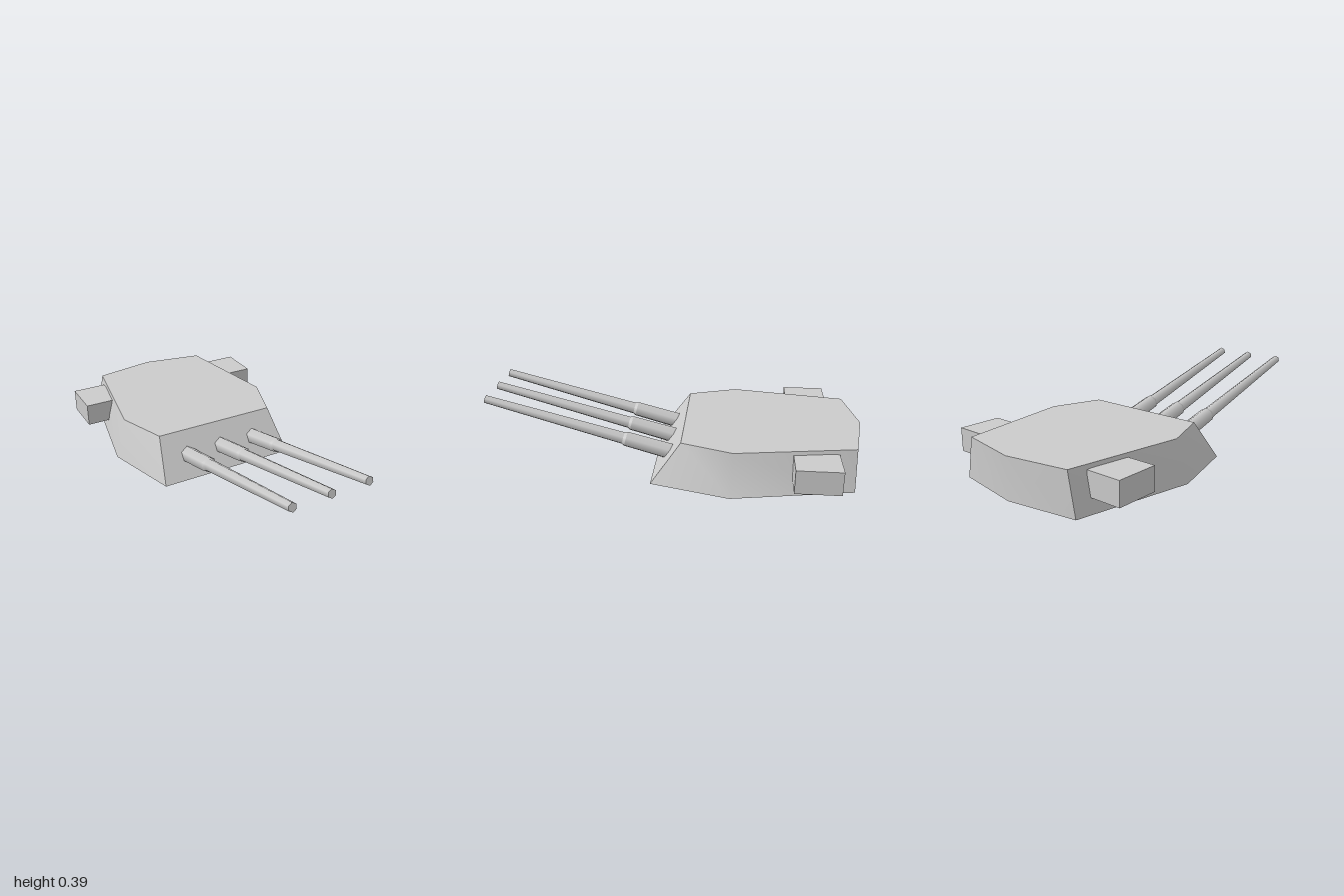
import * as THREE from 'three';
import { toCreasedNormals } from 'three/addons/utils/BufferGeometryUtils.js';

const material = new THREE.MeshStandardMaterial({ color: 0xcccccc, side: THREE.DoubleSide });

function addMesh(parent, name, geometry) {
  const mesh = new THREE.Mesh(geometry, material);
  mesh.name = name;
  parent.add(mesh);
  return mesh;
}

// Completes a half outline, whose first point lies on the centre line.
function mirrorOutline(half) {
  return [...half, ...half.slice(1).reverse().map(([x, z]) => [-x, z])];
}

// Armoured housing: sloping walls and a flat roof, open underneath.
function housingGeometry() {
  const height = 0.22;
  const base = mirrorOutline([[0, -1], [0.38, -0.94], [0.5, -0.31], [0.385, 0.1]]);
  const roof = mirrorOutline([[0, -1], [0.337, -0.94], [0.437, -0.32], [0.343, -0.055]]);
  const n = base.length;
  const positions = [];
  for (const [x, z] of base) positions.push(x, 0, z);
  for (const [x, z] of roof) positions.push(x, height, z);
  const index = [];
  for (let i = 0; i < n; i++) {
    const j = (i + 1) % n;
    index.push(i, n + i, n + j, i, n + j, j);
    if (i > 0 && i < n - 1) index.push(n, n + j, n + i);
  }
  const geometry = new THREE.BufferGeometry();
  geometry.setAttribute('position', new THREE.Float32BufferAttribute(positions, 3));
  geometry.setIndex(index);
  return toCreasedNormals(geometry, THREE.MathUtils.degToRad(40));
}

// Sight box without its inner (-x) and bottom faces.
function sightBoxGeometry() {
  const geometry = new THREE.BoxGeometry(0.19, 0.125, 0.23);
  const faces = Array.from(geometry.index.array);
  const keep = [0, 2, 4, 5];
  geometry.setIndex(keep.flatMap((f) => faces.slice(f * 6, f * 6 + 6)));
  geometry.clearGroups();
  return geometry;
}

// Six-sided tapered tube running along +y from one distance to another.
function taper(from, to, startRadius, endRadius, open) {
  const geometry = new THREE.CylinderGeometry(endRadius, startRadius, to - from, 6, 1, open);
  return geometry.translate(0, (from + to) / 2, 0);
}

export function createModel() {
  const model = new THREE.Group();
  model.name = 'gunTurret';

  addMesh(model, 'housing', housingGeometry());

  // Sight boxes on both flanks
  const sight = sightBoxGeometry();
  for (const side of [1, -1]) {
    const box = addMesh(model, side > 0 ? 'leftSightBox' : 'rightSightBox', sight);
    box.position.set(side * 0.457, 0.1375, -0.735);
    if (side < 0) box.rotation.y = Math.PI;
  }

  // Three raised guns, each a sleeve, a short shoulder and a long barrel
  const sleeve = taper(0, 0.255, 0.046, 0.043, true);
  const shoulder = taper(0.255, 0.27, 0.043, 0.035, true);
  const barrel = taper(0.27, 1.027, 0.035, 0.023, false);
  const names = ['rightGun', 'middleGun', 'leftGun'];
  names.forEach((name, i) => {
    const gun = new THREE.Group();
    gun.name = name;
    addMesh(gun, 'sleeve', sleeve);
    addMesh(gun, 'shoulder', shoulder);
    addMesh(gun, 'barrel', barrel);
    gun.position.set((i - 1) * 0.206, 0.1, 0.002);
    gun.rotation.x = THREE.MathUtils.degToRad(75);
    model.add(gun);
  });

  return model;
}
